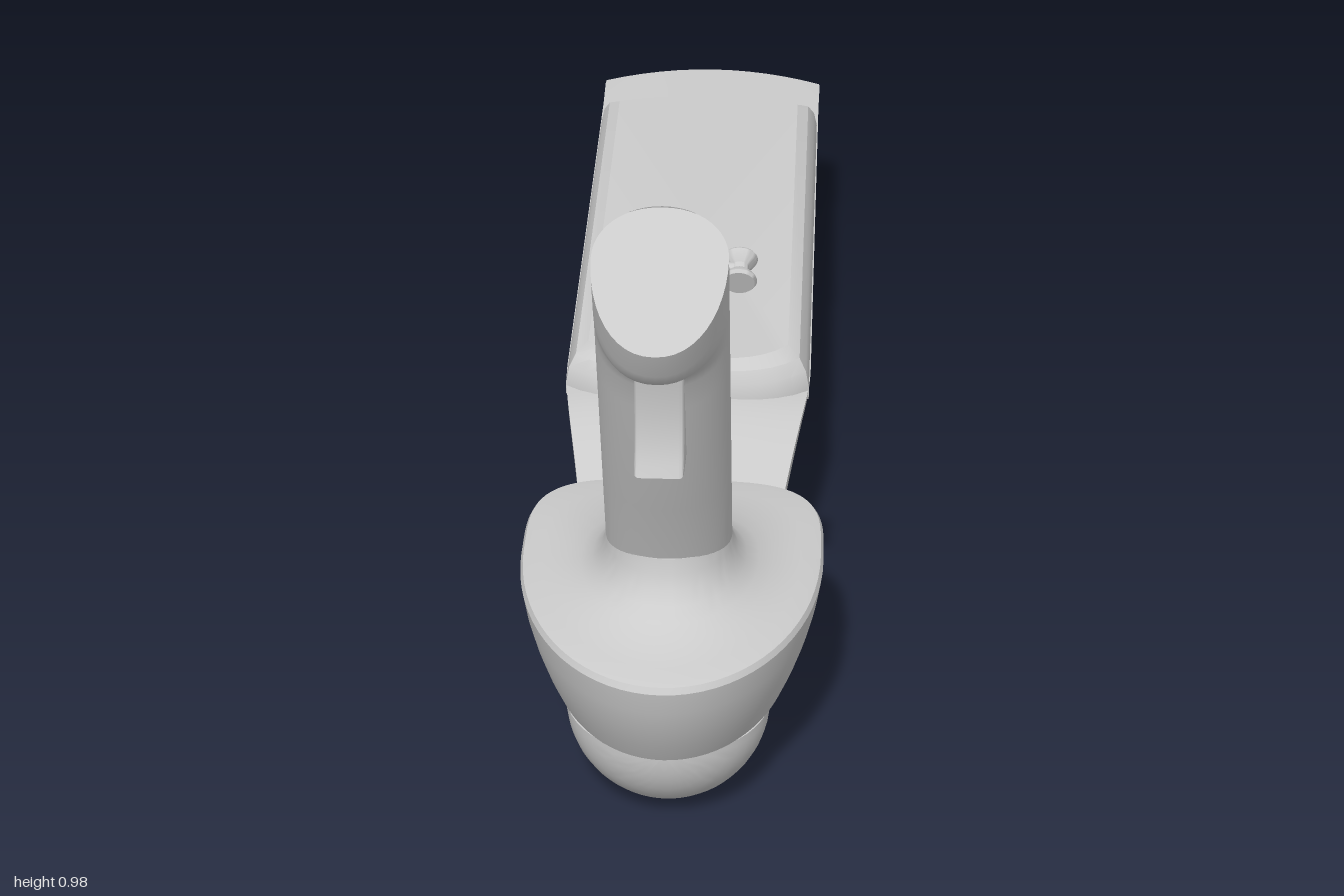
import * as THREE from 'three';
import { toCreasedNormals } from 'three/addons/utils/BufferGeometryUtils.js';

const material = new THREE.MeshStandardMaterial({ color: 0xcccccc });
const thinMaterial = new THREE.MeshStandardMaterial({ color: 0xcccccc, side: THREE.DoubleSide });
const V = (x, y, z) => new THREE.Vector3(x, y, z);
const smooth = THREE.MathUtils.smoothstep;
const lerp = THREE.MathUtils.lerp;

// Skins a list of closed rings (counter-clockwise seen from the end) and caps both ends.
function loft(rings, crease = 0.5) {
  const n = rings[0].length;
  const points = rings.flat();
  const index = [];
  for (let i = 0; i < rings.length - 1; i++) {
    for (let j = 0; j < n; j++) {
      const k = (j + 1) % n;
      const a = i * n + j, b = i * n + k, c = b + n, d = a + n;
      index.push(a, b, c, a, c, d);
    }
  }
  [0, rings.length - 1].forEach((r) => {
    const centre = rings[r].reduce((s, p) => s.add(p), V(0, 0, 0)).divideScalar(n);
    const m = points.push(centre) - 1;
    for (let j = 0; j < n; j++) {
      const a = r * n + j, b = r * n + (j + 1) % n;
      if (r) index.push(m, a, b); else index.push(m, b, a);
    }
  });
  const geometry = new THREE.BufferGeometry().setFromPoints(points);
  geometry.setIndex(index);
  return toCreasedNormals(geometry, crease);
}

// Signed power for superelliptic outlines
const spow = (v, e) => Math.sign(v) * Math.abs(v) ** e;

// Arm cross-section: shallow crown above the edge line, half ellipse below it
function armRing(z, w, edge, crown, bottom, slant = 0, bow = 0) {
  const ring = [];
  for (let i = 0; i < 12; i++) {
    const u = 1 - i / 6;
    ring.push(V(w * u, edge + crown * (1 - u * u), z + bow * u * u));
  }
  for (let i = 0; i < 32; i++) {
    const a = Math.PI * (1 + i / 32), u = Math.cos(a);
    ring.push(V(w * u, edge + (edge - bottom) * Math.sin(a), z - slant * Math.sin(a) + bow * u * u));
  }
  return ring;
}

function buildArm() {
  const rings = [armRing(-1, 0.187, 0.28, 0.01, 0.163, 0.055, 0.03),
    armRing(-0.98, 0.188, 0.28, 0.01, 0.15, 0.055, 0.02)];
  for (let z = -0.88; z < 0; z += 0.22) rings.push(armRing(z, 0.187, 0.28, 0.01, 0.147));
  for (let i = 0; i <= 24; i++) {
    const z = 0.02 + i * 0.0175;
    rings.push(armRing(z, lerp(0.187, 0.143, smooth(z, 0, 0.4)),
      lerp(0.28, 0.205, smooth(z, 0.09, 0.4)), 0.01, lerp(0.147, 0, smooth(z, 0.06, 0.39))));
  }
  // Rounded nose
  for (let i = 0; i <= 12; i++) {
    const a = Math.PI / 2 * Math.min(i / 12, 0.995);
    rings.push(armRing(0.67 + 0.14 * Math.sin(a), 0.143 * Math.cos(a), 0.146, 0.004 * Math.cos(a),
      0.146 - 0.146 * Math.cos(a)));
  }
  return loft(rings);
}

// Cushion outline with bowed ends, shrunk level by level
function buildPad() {
  const levels = [[0.265, 0], [0.285, 0], [0.31, 0.005], [0.328, 0.015], [0.34, 0.033]];
  return loft(levels.map(([y, inset]) => {
    const w = 0.185 - inset, ring = [];
    for (let i = 0; i <= 16; i++) {
      const u = i / 8 - 1;
      ring.push(V(w * u, y, 0.108 - inset - 0.045 * u ** 4));
    }
    for (let i = 0; i <= 16; i++) {
      const u = 1 - i / 8;
      ring.push(V(w * u, y, -0.83 + inset + 0.025 * u * u));
    }
    return ring;
  }), 0.45);
}

// Horizontal outline: squarish rear, elliptic front
function housingRing(y, w, zMid, rear, front, p = 1) {
  const ring = [];
  for (let i = 0; i < 72; i++) {
    const a = i / 72 * Math.PI * 2, c = Math.cos(a), s = Math.sin(a);
    const back = s > 0, e = back ? 0.52 : 1;
    const x = w * spow(c, e), z = zMid - (back ? rear : front) * spow(s, e);
    ring.push(V(lerp(0.085 * c, x, p), y, lerp(0.637 - 0.087 * s, z, p)));
  }
  return ring;
}

function buildHousing() {
  const rings = [[0.145, 0.17, 0.125, 0.27], [0.18, 0.184, 0.146, 0.29], [0.22, 0.197, 0.166, 0.308],
    [0.26, 0.207, 0.182, 0.322], [0.297, 0.213, 0.193, 0.33]]
    .map(([y, w, rear, front]) => housingRing(y, w, 0.55, rear, front));
  // Rim, then a concave flare up to the grip
  [[0.306, 0.97], [0.309, 0.9], [0.313, 0.75], [0.318, 0.6], [0.326, 0.45], [0.336, 0.3],
    [0.35, 0.17], [0.368, 0.08], [0.388, 0.025], [0.41, 0]]
    .forEach(([y, p]) => rings.push(housingRing(y, 0.213, 0.55, 0.193, 0.33, p)));
  return loft(rings, 0.45);
}

// Leaning grip frame: s runs down the back edge, f runs forward across the grip
const gripPoint = (x, s, f) => V(x, 0.978 - 0.933 * s - 0.346 * f, 0.77 - 0.36 * s + 0.938 * f);

function buildGrip() {
  const stations = [[0.62, 0.16], [0.549, 0.16], [0.43, 0.167], [0.315, 0.173], [0.2, 0.175],
    [0.15, 0.176], [0.13, 0.18], [0.115, 0.188], [0.1, 0.202], [0.088, 0.217], [0.076, 0.229],
    [0.063, 0.237], [0.045, 0.241], [0, 0.245]];
  return loft(stations.map(([s, depth]) => {
    const ring = [];
    for (let i = 0; i < 48; i++) {
      const a = i / 48 * Math.PI * 2, sin = Math.sin(a);
      const f = 0.085 - (sin > 0 ? 0.085 : depth - 0.085) * sin;
      ring.push(gripPoint(0.087 * spow(Math.cos(a), 0.92), s, f));
    }
    return ring;
  }));
}

// Round-ended cover lying on the back of the grip head
function buildBackCover() {
  const geometry = new THREE.PlaneGeometry(2, 1, 10, 16);
  const pos = geometry.attributes.position;
  for (let i = 0; i < pos.count; i++) {
    const s = (0.5 - pos.getY(i)) * 0.15;
    const t = Math.max(0, (s - 0.11) / 0.04);
    const x = pos.getX(i) * 0.042 * Math.sqrt(Math.max(0, 1 - t * t));
    const p = gripPoint(x, s, 0.083 - 0.085 * Math.sqrt(1 - (x / 0.087) ** 2));
    pos.setXYZ(i, p.x, p.y, p.z);
  }
  geometry.computeVertexNormals();
  return geometry;
}

function buildTrigger() {
  const shape = new THREE.Shape();
  shape.moveTo(0.80, 0.645);
  shape.lineTo(0.835, 0.643);
  shape.lineTo(0.897, 0.658);
  shape.quadraticCurveTo(0.872, 0.71, 0.886, 0.80);
  shape.lineTo(0.82, 0.83);
  shape.closePath();
  const geometry = new THREE.ExtrudeGeometry(shape, {
    depth: 0.052, bevelThickness: 0.006, bevelSize: 0.005, bevelSegments: 3, curveSegments: 12,
  });
  geometry.translate(0, 0, -0.026).rotateY(-Math.PI / 2);
  return toCreasedNormals(geometry, 0.6);
}

// Small spool-shaped side control on a short stem
function buildSideKnob() {
  const group = new THREE.Group();
  const profile = [[0, -0.022], [0.02, -0.022], [0.023, -0.018], [0.02, -0.012], [0.012, -0.004],
    [0.012, 0.004], [0.02, 0.012], [0.023, 0.018], [0.02, 0.022], [0, 0.022]]
    .map(([r, y]) => new THREE.Vector2(r, y));
  const spool = new THREE.Mesh(toCreasedNormals(new THREE.LatheGeometry(profile, 28), 0.6), material);
  spool.name = 'knobSpool';
  spool.rotation.x = 1.924;
  const stem = new THREE.Mesh(new THREE.CylinderGeometry(0.01, 0.01, 0.06, 20), material);
  stem.name = 'knobStem';
  stem.rotation.z = Math.PI / 2;
  stem.position.x = -0.03;
  group.add(spool, stem);
  group.position.set(0.098, 0.888, 0.768);
  return group;
}

export function createModel() {
  const model = new THREE.Group();
  model.name = 'joystickWithArmrest';
  const add = (name, geometry, mat = material) => {
    const mesh = new THREE.Mesh(geometry, mat);
    mesh.name = name;
    model.add(mesh);
  };
  add('armBody', buildArm());
  add('armPad', buildPad());
  add('baseHousing', buildHousing());
  add('grip', buildGrip());
  add('gripBackCover', buildBackCover(), thinMaterial);
  add('trigger', buildTrigger());
  const knob = buildSideKnob();
  knob.name = 'sideKnob';
  model.add(knob);
  return model;
}
